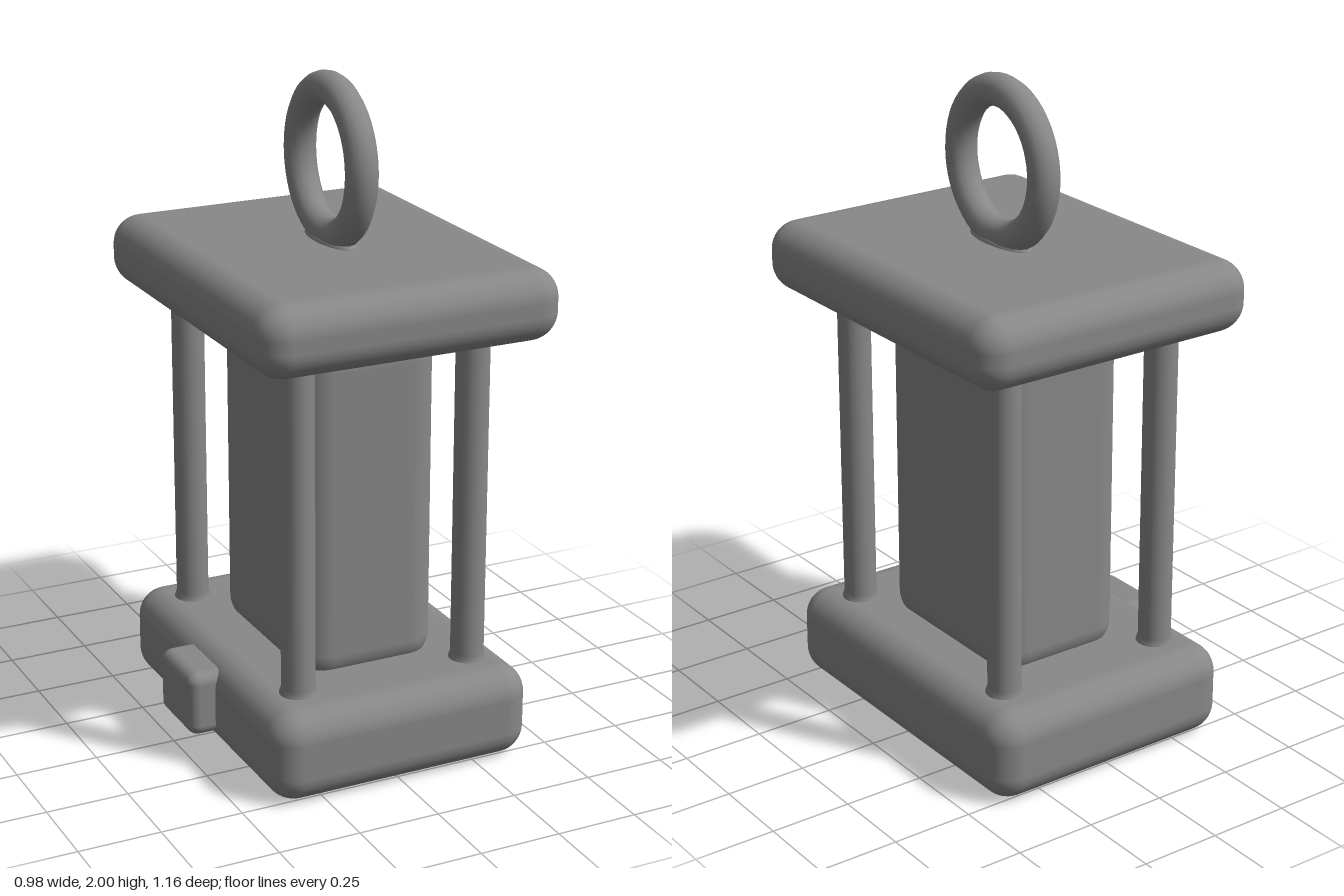
import * as THREE from 'three';
import { RoundedBoxGeometry } from 'three/addons/geometries/RoundedBoxGeometry.js';

export function createModel() {
  const group = new THREE.Group();
  const material = new THREE.MeshStandardMaterial({ color: 0x888888 });

  function add(name, geometry, x = 0, y = 0, z = 0) {
    const mesh = new THREE.Mesh(geometry, material);
    mesh.name = name;
    mesh.position.set(x, y, z);
    group.add(mesh);
    return mesh;
  }

  // Rounded block given by its extents on each axis
  function block(name, [x0, x1], [y0, y1], [z0, z1], radius) {
    const geometry = new RoundedBoxGeometry(x1 - x0, y1 - y0, z1 - z0, 6, radius);
    return add(name, geometry, (x0 + x1) / 2, (y0 + y1) / 2, (z0 + z1) / 2);
  }

  // Lantern body
  block('base', [-0.41, 0.425], [0, 0.283], [-0.553, 0.555], 0.088);
  block('roof', [-0.452, 0.49], [1.29, 1.505], [-0.58, 0.577], 0.088);
  block('core', [-0.207, 0.237], [0.235, 1.3], [-0.304, 0.309], 0.095);

  // Switch on the right side of the base
  block('switch', [-0.49, -0.36], [0.053, 0.255], [-0.13, 0.112], 0.035);

  // Corner posts with a slight flare where they meet base and roof
  const postProfile = [
    [0.06, 0.27], [0.055, 0.287], [0.05, 0.302],
    [0.05, 1.275], [0.055, 1.287], [0.06, 1.3],
  ].map(([r, y]) => new THREE.Vector2(r, y));
  const postGeometry = new THREE.LatheGeometry(postProfile, 24);
  for (const x of [-0.267, 0.29]) {
    for (const z of [-0.385, 0.385]) add('post', postGeometry, x, 0, z);
  }

  // Hanging ring, slightly taller than wide, with its weld on the roof
  const ring = add('hangingRing', new THREE.TorusGeometry(0.208, 0.047, 16, 56), 0.029, 1.738, -0.01);
  ring.rotation.y = Math.PI / 2;
  ring.scale.set(0.97, 1.027, 1.03);
  const weld = add('ringWeld', new THREE.SphereGeometry(1, 24, 12), 0.029, 1.5, -0.007);
  weld.scale.set(0.053, 0.035, 0.14);

  return group;
}
